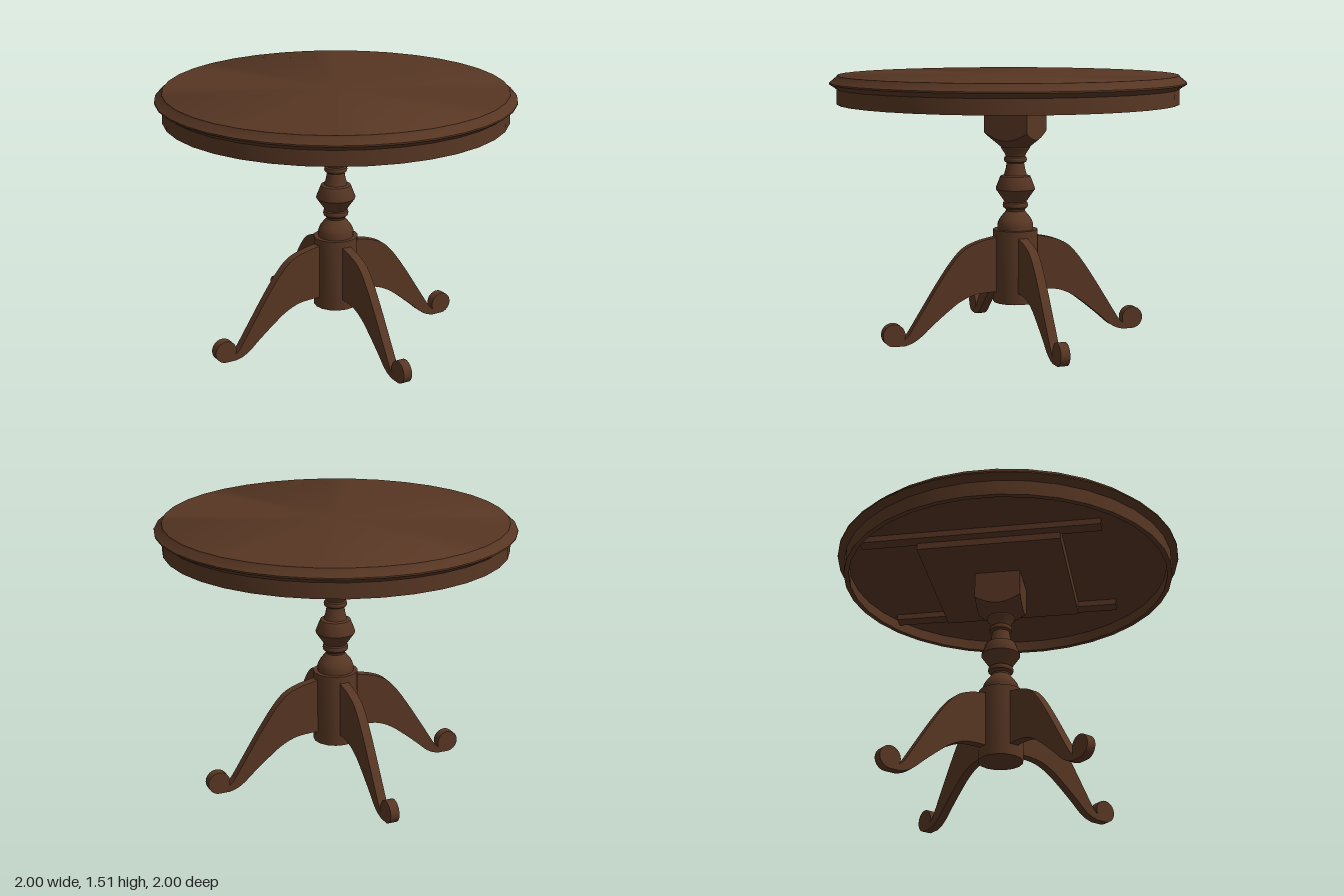
import * as THREE from 'three';
import { toCreasedNormals } from 'three/addons/utils/BufferGeometryUtils.js';

const wood = new THREE.MeshStandardMaterial({ color: 0x573623 });
wood.name = 'dark wood';

const CX = -0.0125, CZ = -0.04; // pedestal axis
const CREASE = 0.55;

function part(name, geometry, parent) {
  const mesh = new THREE.Mesh(geometry, wood);
  mesh.name = name;
  parent.add(mesh);
  return mesh;
}

const vecs = (points) => points.map(([x, y]) => new THREE.Vector2(x, y));

function turned(points, segments, phiStart = 0, crease = CREASE) {
  return toCreasedNormals(new THREE.LatheGeometry(vecs(points), segments, phiStart), crease);
}

// Square block whose underside is turned to a cone, leaving an arc on each face
function blockGeometry() {
  const half = 0.1325, neck = 0.08, bottom = 1.1, top = 1.345;
  const geo = new THREE.LatheGeometry(vecs([[0, bottom], [neck, bottom], [half, 1.145], [half, top]]), 48);
  const pos = geo.attributes.position;
  for (let i = 0; i < pos.count; i++) {
    const x = pos.getX(i), y = pos.getY(i), z = pos.getZ(i);
    if (y === pos.getY(0)) continue;
    const k = half / Math.max(Math.abs(x), Math.abs(z));
    const edgeY = bottom + 0.82 * (half * k - neck);
    pos.setXYZ(i, x * k, y < 1.2 ? edgeY : y, z * k);
  }
  return toCreasedNormals(geo, 0.4);
}

// Curved leg ending in a scroll foot, drawn in the radial plane
function legGeometry(halfWidth) {
  const s = new THREE.Shape();
  s.moveTo(0.1, 0.275);
  s.lineTo(0.1, 0.595);
  s.lineTo(0.14, 0.588);
  s.splineThru(vecs([[0.23, 0.567], [0.31, 0.53], [0.38, 0.458], [0.465, 0.338],
    [0.55, 0.205], [0.61, 0.11], [0.645, 0.058], [0.675, 0.032]]));
  s.absarc(0.727, 0.064, 0.064, Math.PI * 7 / 6, -Math.PI / 2, true);
  s.lineTo(0.665, 0);
  s.splineThru(vecs([[0.62, 0.014], [0.575, 0.042], [0.515, 0.095], [0.417, 0.175],
    [0.34, 0.23], [0.257, 0.265], [0.17, 0.275]]));
  const geo = new THREE.ExtrudeGeometry(s, { depth: halfWidth * 2, bevelEnabled: false, curveSegments: 18 });
  geo.translate(0, 0, -halfWidth);
  return toCreasedNormals(geo, CREASE);
}

export function createModel() {
  const table = new THREE.Group();
  table.name = 'pedestalTable';

  // Round top with moulded edge, apron and recessed underside
  part('tableTop', turned([[0, 1.415], [0.935, 1.415], [0.935, 1.35], [0.964, 1.35], [0.964, 1.435],
    [0.975, 1.444], [1.0038, 1.462], [1.0038, 1.47], [0.964, 1.503], [0.962, 1.51], [0, 1.51]],
  36, Math.PI / 36, 0.75), table);

  // Mounting board and the two runners beside it
  part('mountingBoard', new THREE.BoxGeometry(0.925, 0.08, 0.815), table)
    .position.set(-0.0075, 1.381, CZ);
  for (const side of [-1, 1]) {
    part(side > 0 ? 'leftRunner' : 'rightRunner', new THREE.BoxGeometry(0.08, 0.04, 1.37), table)
      .position.set(-0.0075 + side * 0.48, 1.4, -0.085);
  }

  const pedestal = new THREE.Group();
  pedestal.name = 'pedestal';
  pedestal.position.set(CX, 0, CZ);
  table.add(pedestal);

  part('topBlock', blockGeometry(), pedestal);

  // Turned column, from the hub up to the block
  part('column', turned([[0.1025, 0.62], [0.1025, 0.66], [0.097, 0.677], [0.088, 0.693], [0.072, 0.713],
    [0.054, 0.735], [0.055, 0.745], [0.07, 0.757], [0.073, 0.768], [0.07, 0.783], [0.062, 0.788],
    [0.112, 0.86], [0.112, 0.868], [0.086, 0.935], [0.066, 0.94], [0.056, 0.975], [0.05, 1.01],
    [0.063, 1.018], [0.066, 1.03], [0.063, 1.042], [0.055, 1.048], [0.062, 1.065],
    [0.082, 1.095], [0.082, 1.115]], 20), pedestal);

  // Hub that carries the legs
  part('hub', turned([[0, 0.21], [0.1275, 0.21], [0.1275, 0.63], [0, 0.63]], 16), pedestal);

  // Four legs on the diagonals
  const legGeo = legGeometry(0.026);
  for (let i = 0; i < 4; i++) {
    part('leg' + (i + 1), legGeo, pedestal).rotation.y = Math.PI / 4 + (i * Math.PI) / 2;
  }
  return table;
}
